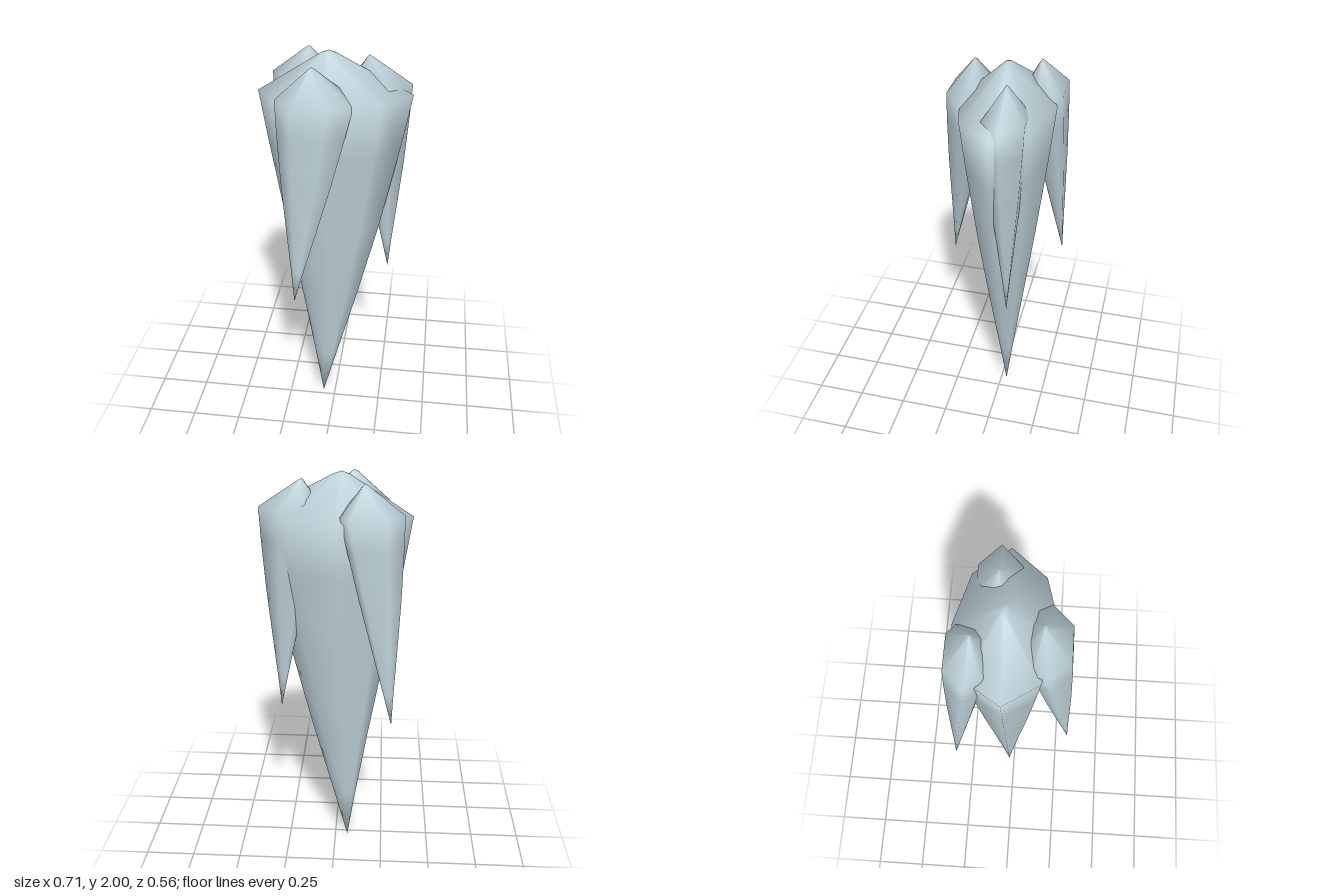
import * as THREE from 'three';

const ice = new THREE.MeshStandardMaterial({ color: 0xbdd0d8 });
ice.name = 'pale ice';

// One icicle: apex, shoulder ring of [x, z] or [x, z, y], rings tapering down to a tip.
function spike(name, apex, shoulderY, outline, tip, bulge, shiftX = 0) {
  const top = new THREE.Vector3(...apex);
  const end = new THREE.Vector3(...tip);
  const shoulder = outline.map(([x, z, y = shoulderY]) => new THREE.Vector3(x, y, z));
  const n = shoulder.length;
  const centre = shoulder.reduce((s, p) => s.add(p), new THREE.Vector3()).divideScalar(n);

  // rounded cap just under the apex, then the shoulder
  const rings = [
    shoulder.map(p => {
      const q = top.clone().lerp(p, 0.1);
      q.y = top.y - 0.012;
      return q;
    }),
    shoulder,
  ];
  // slightly swollen taper
  for (const t of [0.86, 0.62, 0.38, 0.16]) {
    const swell = Math.sin(Math.PI * t);
    rings.push(shoulder.map(p => {
      const q = end.clone().lerp(p, t);
      const c = end.clone().lerp(centre, t);
      const out = q.clone().sub(c).setY(0);
      q.addScaledVector(out, bulge * swell);
      q.x += shiftX * swell;
      return q;
    }));
  }

  const points = [top, ...rings.flat(), end];
  const last = points.length - 1;
  const index = [];
  for (let i = 0; i < n; i++) {
    const j = (i + 1) % n;
    index.push(0, 1 + i, 1 + j);
    for (let r = 0; r < rings.length - 1; r++) {
      const a = 1 + r * n, b = a + n;
      index.push(a + i, b + i, b + j, a + i, b + j, a + j);
    }
    const a = 1 + (rings.length - 1) * n;
    index.push(a + i, last, a + j);
  }
  const geometry = new THREE.BufferGeometry().setFromPoints(points);
  geometry.setIndex(index);
  geometry.computeVertexNormals();
  const mesh = new THREE.Mesh(geometry, ice);
  mesh.name = name;
  return mesh;
}

export function createModel() {
  const group = new THREE.Group();
  group.name = 'icicleCluster';

  // Outlines run from the left-hand (-x) corner through +z, +x and -z.
  group.add(spike('mainIcicle', [-0.03, 2, -0.035], 1.81, [
    [-0.355, -0.035, 1.8], [-0.257, 0.12], [-0.02, 0.187], [0.22, 0.122],
    [0.352, -0.035], [0.22, -0.192], [-0.02, -0.257], [-0.257, -0.19],
  ], [-0.065, 0, -0.03], 0.06, 0.012));

  group.add(spike('frontIcicle', [-0.083, 1.975, 0.125], 1.83, [
    [-0.245, 0.147], [-0.16, 0.24], [0, 0.24], [0.1, 0.15, 1.81],
    [0.09, 0.08], [0, 0.03], [-0.14, 0.03], [-0.225, 0.08],
  ], [-0.16, 0.85, 0.278], 0.08));

  group.add(spike('backIcicle', [-0.137, 1.975, -0.163], 1.84, [
    [-0.313, -0.18], [-0.265, -0.11], [-0.2, -0.09], [-0.09, -0.09],
    [-0.03, -0.15], [-0.03, -0.237], [-0.07, -0.273], [-0.235, -0.273],
  ], [-0.28, 0.85, -0.28], 0.08));

  group.add(spike('sideIcicle', [0.147, 1.975, -0.07], 1.845, [
    [0.06, -0.04], [0.14, 0.0], [0.245, 0.02], [0.345, -0.075],
    [0.245, -0.168], [0.12, -0.165], [0.06, -0.11],
  ], [0.265, 0.845, -0.1], 0.08));

  return group;
}
